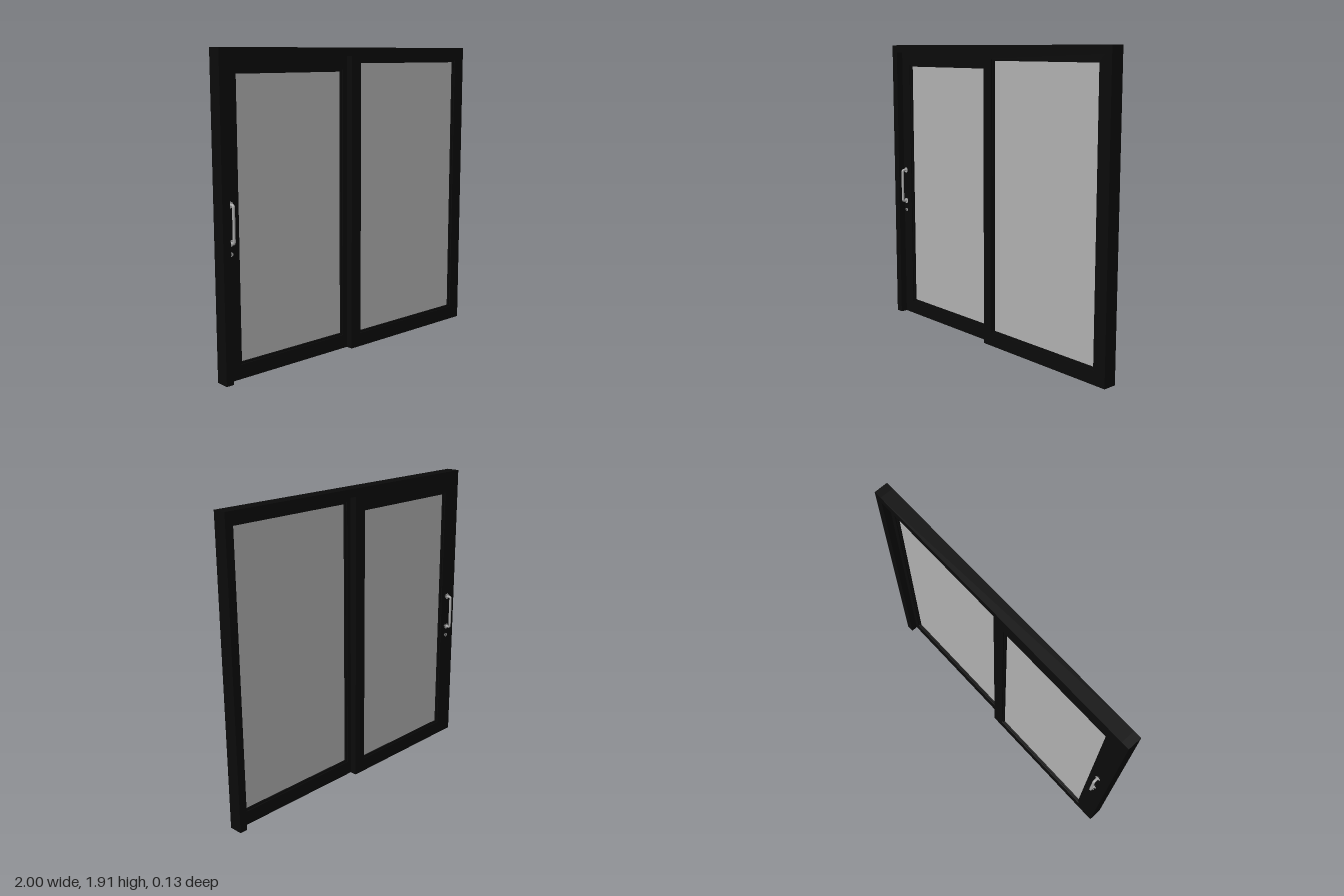
import * as THREE from 'three';

const material = (name, color) => {
  const m = new THREE.MeshStandardMaterial({ color });
  m.name = name;
  return m;
};

export function createModel() {
  const black = material('black frame', 0x0a0a0a);
  const glass = material('grey glass', 0xb0b0b0);
  const steel = material('brushed steel', 0xa8a8a8);
  const model = new THREE.Group();
  model.name = 'slidingDoor';

  const BACK = -0.022, FRONT = 0.067, TOP = 1.91, JAMB = 0.05;

  const add = (parent, name, geometry, mat, x = 0, y = 0, z = 0) => {
    const mesh = new THREE.Mesh(geometry, mat);
    mesh.name = name;
    mesh.position.set(x, y, z);
    parent.add(mesh);
    return mesh;
  };
  // Box given by its limits
  const box = (parent, name, mat, x0, x1, y0, y1, z0, z1) =>
    add(parent, name, new THREE.BoxGeometry(x1 - x0, y1 - y0, z1 - z0), mat,
      (x0 + x1) / 2, (y0 + y1) / 2, (z0 + z1) / 2);

  // Rectangular ring; outer and inner are [x0, x1, y0, y1]
  const ring = (parent, name, outer, inner, z0, z1) => {
    const corners = ([x0, x1, y0, y1]) =>
      [[x0, y0], [x1, y0], [x1, y1], [x0, y1]].map(p => new THREE.Vector2(...p));
    const shape = new THREE.Shape(corners(outer));
    shape.holes.push(new THREE.Path(corners(inner).reverse()));
    const geometry = new THREE.ExtrudeGeometry(shape, { depth: z1 - z0, bevelEnabled: false });
    return add(parent, name, geometry, black, 0, 0, z0);
  };

  // Outer frame: two jambs and a header, open at the floor
  for (const s of [-1, 1]) {
    const a = s * (1 - JAMB);
    box(model, s < 0 ? 'rightJamb' : 'leftJamb', black,
      Math.min(a, s), Math.max(a, s), 0, TOP, BACK, FRONT);
  }
  box(model, 'header', black, -1 + JAMB, 1 - JAMB, TOP - JAMB, TOP, BACK, FRONT);

  // A door leaf: stiles and rails, a recessed glazing bead and the pane
  const leaf = (name, outer, opening, z0, z1) => {
    const group = new THREE.Group();
    group.name = name;
    model.add(group);
    const [x0, x1, y0, y1] = opening, b = 0.012, mid = (z0 + z1) / 2;
    const beadOuter = [x0 - b, x1 + b, y0 - b, y1 + b];
    ring(group, 'stilesAndRails', outer, beadOuter, z0, z1);
    ring(group, 'glazingBead', beadOuter, opening, z0 + 0.008, z1 - 0.008);
    box(group, 'pane', glass, x0, x1, y0, y1, mid - 0.003, mid + 0.003);
    return group;
  };
  const slideFront = 0.022;
  const slider = leaf('slidingLeaf', [-0.95, 0.01, 0, 1.86], [-0.855, -0.08, 0.1, 1.765], BACK, slideFront);
  leaf('fixedLeaf', [-0.035, 0.95, 0, 1.86], [0.05, 0.905, 0.1, 1.815], 0.023, FRONT);

  // Pull handle, built pointing to +z
  const disc = (parent, name, mat, r, depth, y, z, sides) => {
    const geometry = new THREE.CylinderGeometry(r, r, depth, sides).rotateX(Math.PI / 2);
    add(parent, name, geometry, mat, 0, y, z + depth / 2);
  };
  const handle = (name, z, turn) => {
    const group = new THREE.Group();
    group.name = name;
    group.position.set(-0.92, 0, z);
    group.rotation.y = turn;
    slider.add(group);
    const lo = 0.82, hi = 1.04, reach = 0.036, r = 0.012;
    const v = (y, d) => new THREE.Vector3(0, y, d);
    const path = new THREE.CurvePath();
    path.add(new THREE.LineCurve3(v(lo, 0), v(lo, reach - r)));
    path.add(new THREE.QuadraticBezierCurve3(v(lo, reach - r), v(lo, reach), v(lo + r, reach)));
    path.add(new THREE.LineCurve3(v(lo + r, reach), v(hi - r, reach)));
    path.add(new THREE.QuadraticBezierCurve3(v(hi - r, reach), v(hi, reach), v(hi, reach - r)));
    path.add(new THREE.LineCurve3(v(hi, reach - r), v(hi, 0)));
    add(group, 'grip', new THREE.TubeGeometry(path, 80, 0.0085, 12), steel);
    for (const y of [lo, hi]) {
      disc(group, 'rosette', black, 0.023, 0.006, y, 0, 16);
      disc(group, 'rosetteCap', steel, 0.019, 0.002, y, 0.006, 16);
    }
    // Lock cylinder below the grip
    disc(group, 'lockBase', black, 0.016, 0.005, 0.755, 0, 16);
    disc(group, 'lockFace', steel, 0.012, 0.002, 0.755, 0.005, 16);
    box(group, 'keySlot', black, -0.002, 0.002, 0.749, 0.761, 0.007, 0.008);
  };
  handle('frontHandle', slideFront, 0);
  handle('backHandle', BACK, Math.PI);

  return model;
}
